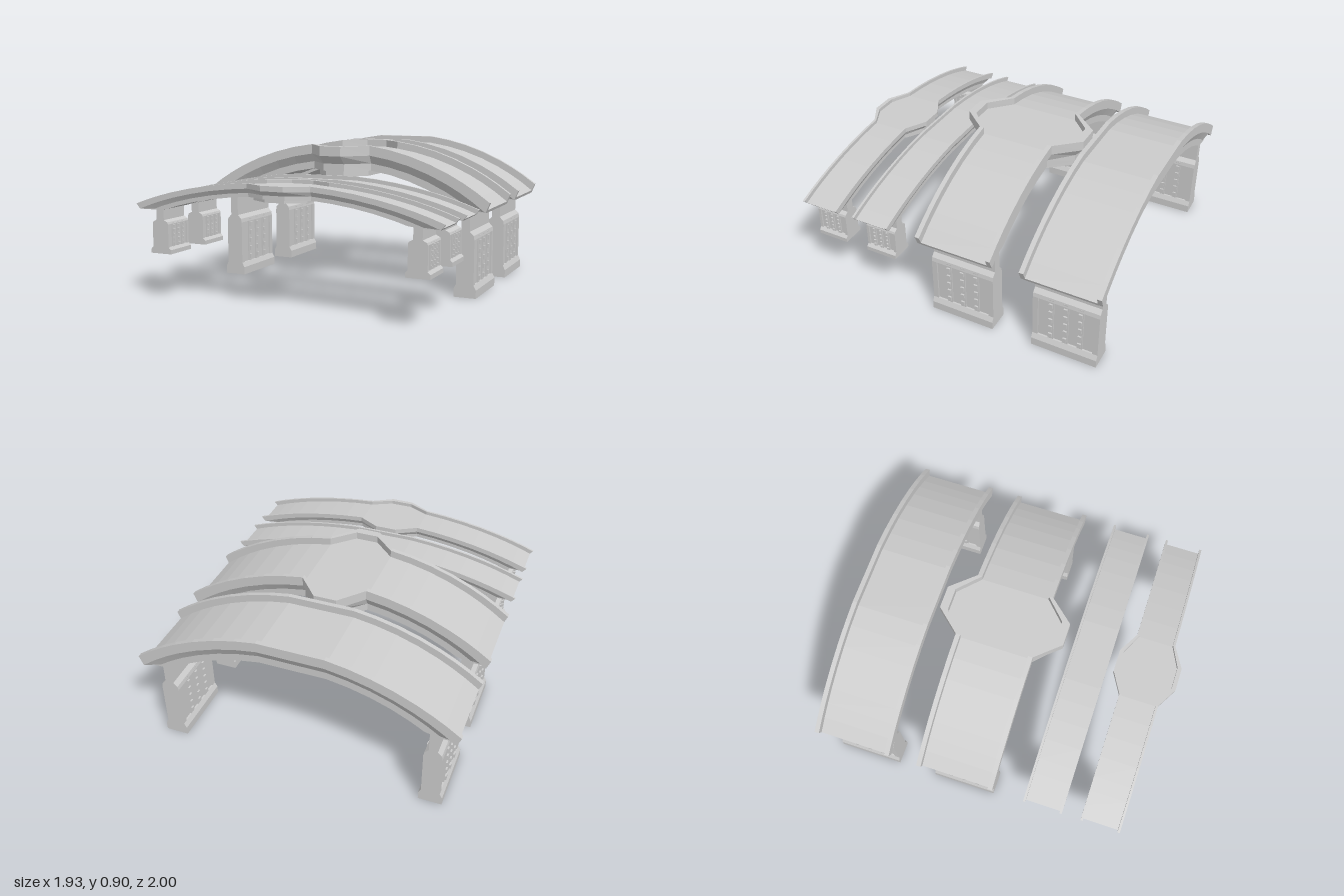
import * as THREE from 'three';

const material = new THREE.MeshStandardMaterial({ color: 0xcccccc, flatShading: true });
const RADIUS = 1.6;

function addMesh(parent, name, geometry, x = 0, y = 0, z = 0) {
  const mesh = new THREE.Mesh(geometry, material);
  mesh.name = name;
  mesh.position.set(x, y, z);
  parent.add(mesh);
  return mesh;
}

// Height of the railing top along the arch, level across the crown
function archTop(x) {
  const d = Math.max(Math.abs(x), 0.2);
  return 0.9125 - (RADIUS - Math.sqrt(RADIUS * RADIUS - d * d));
}

// Deck with both railings: a U-shaped section swept along the arch
function spanGeometry(bulged) {
  const half = [0.07, 0.2, 0.33, 0.46, 0.59, 0.71, 0.8, 0.88, 0.965];
  const stations = [...half.map((x) => -x).reverse(), ...half];
  const positions = [];
  const index = [];
  for (const x of stations) {
    const top = archTop(x);
    const out = bulged ? THREE.MathUtils.clamp((0.2 - Math.abs(x)) / 0.13, 0, 1) : 0;
    const w = 0.24 + 0.147 * out;
    const a = w - 0.028 - 0.022 * out;
    const side = [
      [a, top - 0.045], [a, top], [w, top], [w, top - 0.06],
      [a, Math.max(top - 0.11, 0.527)], [a, Math.max(top - 0.155, 0.525)],
    ];
    const section = [...side, ...side.map(([z, y]) => [-z, y]).reverse()];
    // Lean the ends so they are cut square to the arch
    const lean = 0.45 * x * Math.abs(x);
    for (const [z, y] of section) positions.push(x - lean * (top - y), y, z);
  }
  const n = 12;
  const last = stations.length - 1;
  for (let i = 0; i < last; i++) {
    for (let j = 0; j < n; j++) {
      const k = (j + 1) % n;
      const a = i * n + j, b = i * n + k, c = b + n, d = a + n;
      index.push(a, b, c, a, c, d);
    }
  }
  // End caps: two railings and the deck between them
  for (const fan of [[0, 1, 2, 3, 4], [11, 7, 8, 9, 10], [0, 5, 6, 11]]) {
    for (let k = 1; k < fan.length - 1; k++) {
      const o = last * n;
      index.push(o + fan[0], o + fan[k], o + fan[k + 1]);
      index.push(fan[0], fan[k + 1], fan[k]);
    }
  }
  const geometry = new THREE.BufferGeometry();
  geometry.setAttribute('position', new THREE.Float32BufferAttribute(positions, 3));
  geometry.setIndex(index);
  const flat = geometry.toNonIndexed();
  flat.computeVertexNormals();
  return flat;
}

// Symmetric pier profile extruded across the bridge
function profileSlab(points, depth) {
  const right = points.map(([x, y]) => new THREE.Vector2(x, y));
  const left = points.map(([x, y]) => new THREE.Vector2(-x, y)).reverse();
  const geometry = new THREE.ExtrudeGeometry(new THREE.Shape([...right, ...left]), { depth, bevelEnabled: false });
  return geometry.translate(0, 0, -depth / 2);
}

function createPier() {
  const pier = new THREE.Group();
  pier.name = 'pier';
  const foot = [[0.07, 0], [0.07, 0.05], [0.055, 0.08]];
  const head = [[0.055, 0.355], [0.05, 0.38], [0.026, 0.405], [0.026, 0.53], [0.045, 0.56]];
  addMesh(pier, 'pierCore', profileSlab([...foot, [0.044, 0.08], [0.044, 0.355], ...head], 0.34));
  for (const s of [-1, 1]) {
    addMesh(pier, 'pierEndPost', profileSlab([...foot, ...head], 0.032), 0, 0, s * 0.186);
    // Toothed ribs on the recessed panels
    for (const z of [-0.09, 0, 0.09]) {
      addMesh(pier, 'pierRib', new THREE.BoxGeometry(0.014, 0.3, 0.034), s * 0.046, 0.22, z);
      for (let i = 0; i < 5; i++) {
        addMesh(pier, 'ribTooth', new THREE.BoxGeometry(0.012, 0.028, 0.022), s * 0.057, 0.11 + i * 0.055, z);
      }
    }
  }
  return pier;
}

// Stepped slab beneath the widened crown
function crownBase() {
  const outline = [[0.17, 0.19], [0.06, 0.322], [-0.06, 0.322], [-0.17, 0.19]];
  const points = [...outline, ...outline.map(([x, z]) => [-x, -z])];
  const shape = new THREE.Shape(points.map(([x, z]) => new THREE.Vector2(x, z)));
  return new THREE.ExtrudeGeometry(shape, { depth: 0.04, bevelEnabled: false }).rotateX(-Math.PI / 2);
}

function createBridge(name, bulged) {
  const bridge = new THREE.Group();
  bridge.name = name;
  addMesh(bridge, 'archedDeck', spanGeometry(bulged));
  if (bulged) addMesh(bridge, 'crownBase', crownBase(), 0, 0.71, 0);
  for (const s of [-1, 1]) {
    const pier = createPier();
    pier.position.x = s * 0.81;
    bridge.add(pier);
  }
  return bridge;
}

export function createModel() {
  const model = new THREE.Group();
  model.name = 'bridges';
  // name, widened crown, z, base height, scale of height and width
  const layout = [
    ['largePlainBridge', false, -0.76, 0, 1],
    ['largeWideCrownBridge', true, -0.103, 0, 1],
    ['smallPlainBridge', false, 0.45, 0.28, 0.5],
    ['smallWideCrownBridge', true, 0.805, 0.28, 0.5],
  ];
  for (const [name, bulged, z, y, scale] of layout) {
    const bridge = createBridge(name, bulged);
    bridge.position.set(0, y, z);
    bridge.scale.set(1, scale, scale);
    model.add(bridge);
  }
  return model;
}
